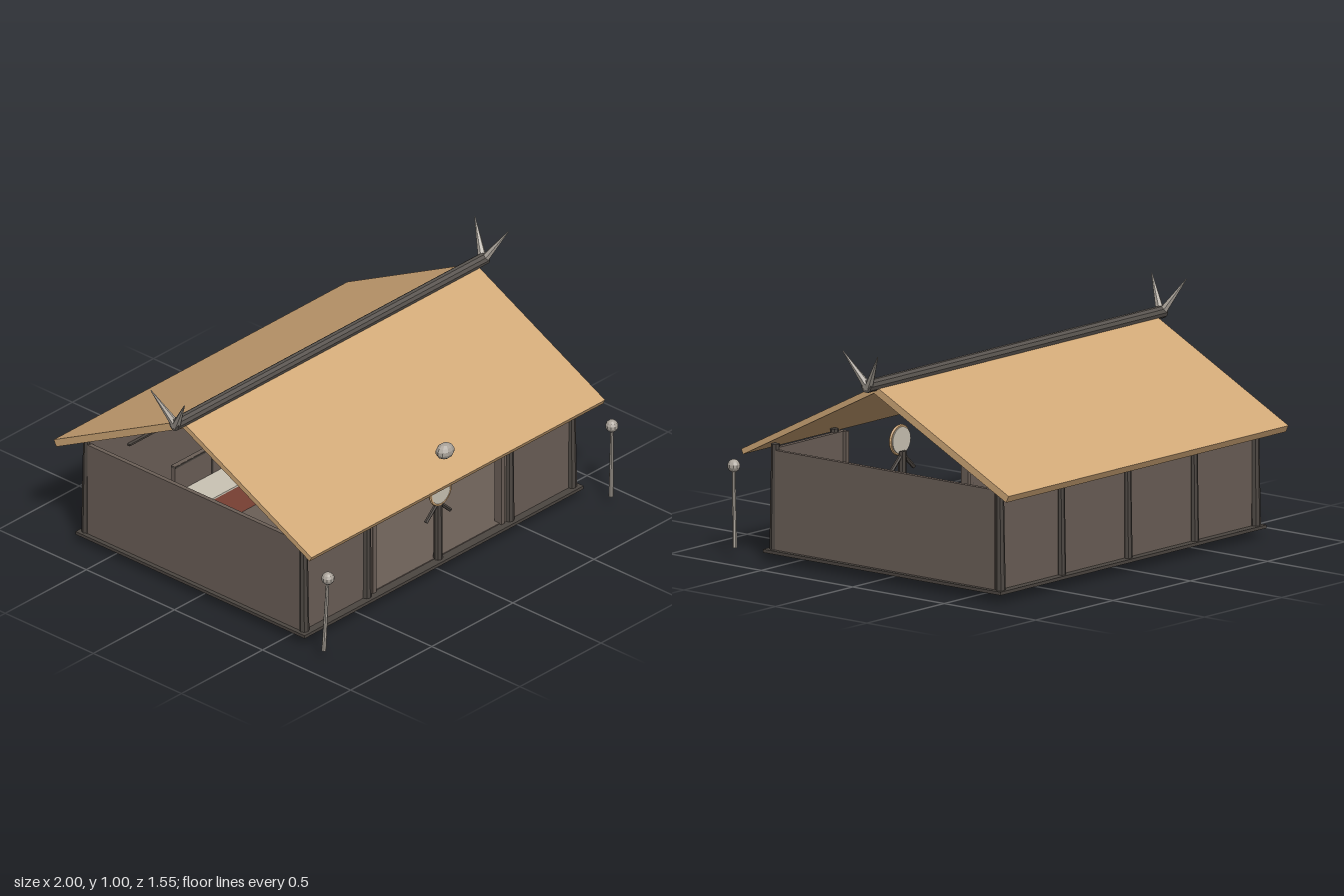
import * as THREE from 'three';

export function createModel() {
  const model = new THREE.Group();
  model.name = 'timberHall';
  const paint = (name, color) => {
    const m = new THREE.MeshStandardMaterial({ color });
    m.name = name;
    return m;
  };
  const thatch = paint('thatch tan', 0xd2a978);
  const wall = paint('wall timber', 0x6b5f57);
  const dark = paint('dark timber', 0x4c4641);
  const ridgeWood = paint('ridge timber', 0x59544f);
  const red = paint('red wood', 0x8c4b3c);
  const cream = paint('cream hide', 0xcbc4b5);
  const bone = paint('bone grey', 0xaaa39a);

  // Faceted mesh helpers
  const add = (name, geo, mat, x = 0, y = 0, z = 0) => {
    const flat = geo.index ? geo.toNonIndexed() : geo;
    flat.computeVertexNormals();
    const mesh = new THREE.Mesh(flat, mat);
    mesh.name = name;
    mesh.position.set(x, y, z);
    model.add(mesh);
    return mesh;
  };
  const box = (name, mat, w, h, d, x, y, z) =>
    add(name, new THREE.BoxGeometry(w, h, d), mat, x, y, z);
  const pole = (name, mat, a, b, r0, r1, sides = 8) => {
    const from = new THREE.Vector3(...a), to = new THREE.Vector3(...b);
    const dir = to.clone().sub(from);
    const mesh = add(name, new THREE.CylinderGeometry(r1, r0, dir.length(), sides), mat);
    mesh.position.copy(from).addScaledVector(dir, 0.5);
    mesh.quaternion.setFromUnitVectors(new THREE.Vector3(0, 1, 0), dir.normalize());
    return mesh;
  };

  // Floor and enclosing walls
  box('floor', dark, 1.72, 0.014, 1.3, 0, 0.042, -0.04);
  box('floorBoards', wall, 1.66, 0.004, 1.22, 0, 0.051, -0.04);
  box('backWall', wall, 1.66, 0.45, 0.02, 0, 0.27, -0.645);
  for (const s of [-1, 1]) {
    box('sideWall', wall, 0.02, 0.43, 1.2, s * 0.83, 0.26, -0.04);
    box('frontWall', wall, 0.43, 0.44, 0.02, s * 0.605, 0.265, 0.565);
    box('doorJamb', wall, 0.02, 0.44, 0.04, s * 0.395, 0.265, 0.56);
    // Front and corner posts
    pole('doorPost', dark, [s * 0.44, 0.04, 0.575], [s * 0.44, 0.5, 0.575], 0.021, 0.018);
    pole('frontCornerPost', dark, [s * 0.825, 0.04, 0.575], [s * 0.825, 0.5, 0.57], 0.022, 0.018);
    pole('backCornerPost', dark, [s * 0.825, 0.04, -0.66], [s * 0.825, 0.5, -0.655], 0.022, 0.018);
  }
  for (const x of [-0.43, 0, 0.43])
    pole('backPost', dark, [x, 0.04, -0.66], [x, 0.5, -0.655], 0.019, 0.016);

  // Roof slopes, open at both gables
  const roof = (name, z1, y1, thick) => {
    const z0 = -0.04, y0 = 0.83;
    const mesh = box(name, thatch, 1.81, thick, Math.hypot(z1 - z0, y1 - y0),
      0, (y0 + y1) / 2, (z0 + z1) / 2);
    mesh.rotation.x = Math.atan((y0 - y1) / (z1 - z0));
  };
  roof('frontRoof', 0.685, 0.463, 0.024);
  roof('backRoof', -0.765, 0.463, 0.032);

  // Ridge log with crossed horns
  pole('ridgeLog', ridgeWood, [-0.96, 0.852, -0.04], [0.96, 0.852, -0.04], 0.027, 0.027, 10);
  for (const s of [-1, 1])
    for (const t of [-1, 1])
      pole('ridgeHorn', bone, [s * 0.945, 0.845, -0.04], [s * 0.998, 0.998, -0.04 + t * 0.095], 0.02, 0.002, 6);

  // High bench with hide top and panelled back
  box('benchBase', red, 1.06, 0.15, 0.07, 0, 0.11, -0.32);
  box('benchHide', cream, 1.06, 0.008, 0.15, 0, 0.189, -0.36);
  box('benchBack', wall, 1.06, 0.13, 0.02, 0, 0.255, -0.44);
  box('benchRail', dark, 1.06, 0.008, 0.026, 0, 0.315, -0.44);
  for (let i = -2; i <= 2; i++)
    if (i) box('benchBackSlat', dark, 0.008, 0.12, 0.026, i * 0.1 + Math.sign(i) * 0.1, 0.255, -0.44);
  for (const s of [-1, 1]) box('benchBackSlat', dark, 0.008, 0.12, 0.026, s * 0.1, 0.255, -0.44);
  box('wallRail', dark, 1.2, 0.008, 0.02, 0, 0.38, -0.63);

  // Round shield above the bench
  const disc = (name, mat, r, depth, y, z) => {
    const geo = new THREE.CylinderGeometry(r, r, depth, 24);
    geo.rotateX(Math.PI / 2);
    return add(name, geo, mat, 0, y, z);
  };
  disc('shieldRim', wall, 0.17, 0.016, 0.315, -0.418);
  disc('shieldFace', cream, 0.135, 0.008, 0.315, -0.408);

  // Central standard: pole, braces and rimmed disc
  pole('standardPole', dark, [0, 0.045, 0.575], [0, 0.33, 0.575], 0.02, 0.018);
  for (const s of [-1, 1])
    pole('standardBrace', dark, [0, 0.32, 0.575], [s * 0.075, 0.25, 0.575], 0.009, 0.009, 6);
  disc('standardDisc', cream, 0.058, 0.016, 0.375, 0.585);
  add('standardRim', new THREE.TorusGeometry(0.06, 0.007, 6, 24), thatch, 0, 0.375, 0.588);

  // Low side stools and small corner stands
  for (const s of [-1, 1]) {
    const x = s * 0.715;
    box('stoolSled', red, 0.045, 0.01, 0.2, x, 0.035, -0.12);
    box('stoolSeat', red, 0.09, 0.014, 0.2, x, 0.1, -0.12);
    for (const z of [-0.05, -0.19]) {
      pole('stoolFoot', red, [s * 0.725, 0, z], [s * 0.71, 0.04, z], 0.008, 0.012, 4);
      box('stoolLeg', red, 0.05, 0.06, 0.016, x, 0.067, z);
    }
    box('cornerStand', red, 0.06, 0.07, 0.06, s * 0.62, 0.068, -0.5);
    box('cornerStandFoot', red, 0.05, 0.003, 0.04, s * 0.62, 0.034, -0.5);
  }
  box('benchSill', red, 1.06, 0.003, 0.05, 0, 0.034, -0.32);

  // Skull-like ornament over the entrance and two flanking staffs
  add('eaveOrnament', new THREE.SphereGeometry(0.035, 10, 7), bone, 0, 0.58, 0.615).scale.set(1.3, 1, 1);
  for (const s of [-1, 1]) {
    pole('staff', bone, [s * 0.885, 0.04, 0.742], [s * 0.876, 0.38, 0.756], 0.01, 0.007, 7);
    add('staffKnob', new THREE.SphereGeometry(0.028, 10, 7), bone, s * 0.875, 0.388, 0.756);
  }
  return model;
}
